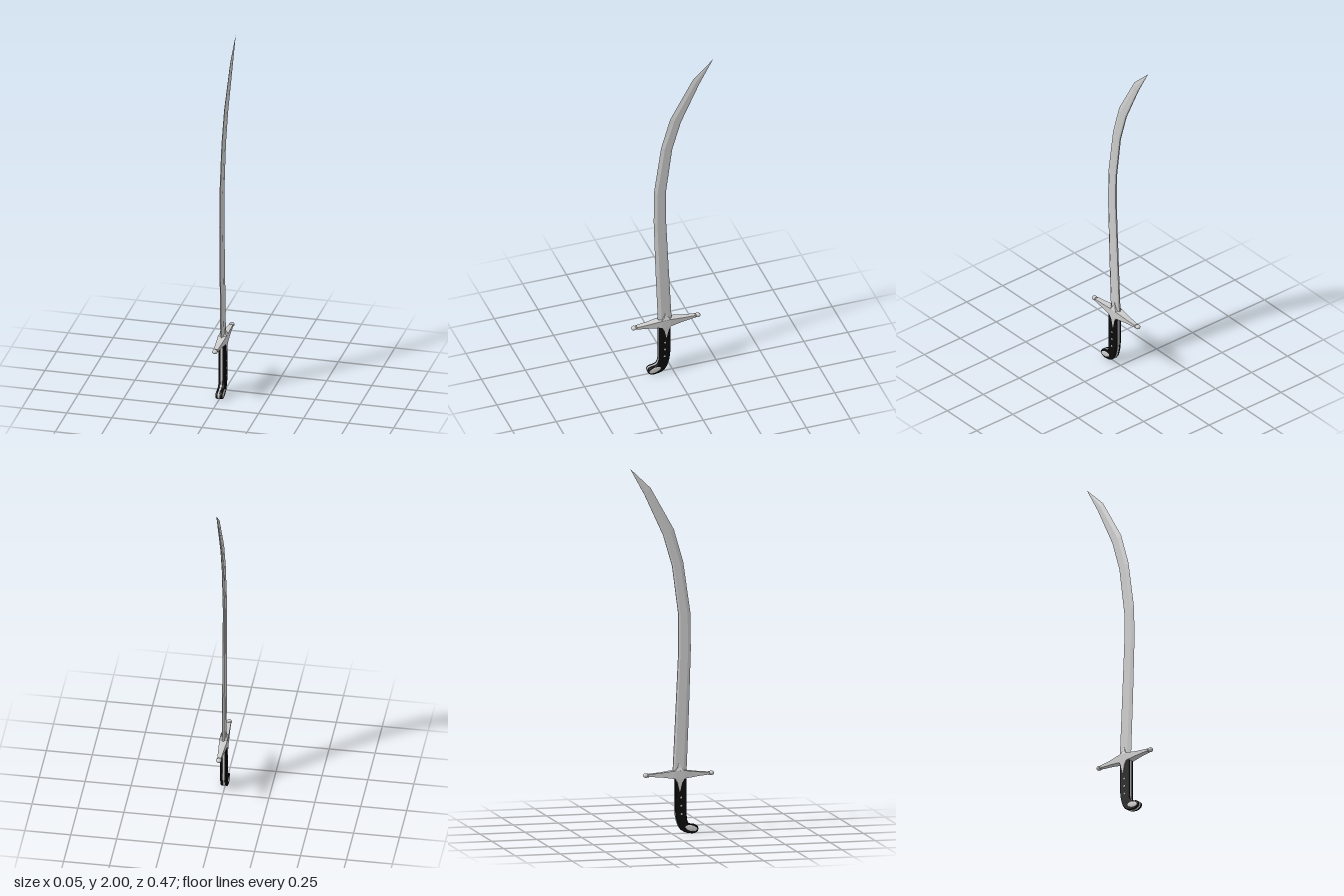
import * as THREE from 'three';

const steel = new THREE.MeshStandardMaterial({ color: 0xcccccc });
const flatSteel = new THREE.MeshStandardMaterial({ color: 0xcccccc, flatShading: true });
const black = new THREE.MeshStandardMaterial({ color: 0x0b0b0b });

// Skin a list of rings (each counter-clockwise about the forward direction), with end caps
function loft(rings) {
  const n = rings[0].length, index = [];
  for (let i = 0; i < rings.length - 1; i++) {
    for (let j = 0; j < n; j++) {
      const k = (j + 1) % n;
      const a = i * n + j, b = i * n + k, c = b + n, d = a + n;
      index.push(a, b, c, a, c, d);
    }
  }
  const last = (rings.length - 1) * n;
  for (let j = 1; j < n - 1; j++) {
    index.push(0, j + 1, j, last, last + j, last + j + 1);
  }
  const geo = new THREE.BufferGeometry();
  geo.setAttribute('position', new THREE.Float32BufferAttribute(rings.flat(2), 3));
  geo.setIndex(index);
  const flat = geo.toNonIndexed();
  flat.computeVertexNormals();
  return flat;
}

const corners = [[1, 1], [-1, 1], [-1, -1], [1, -1]];

function add(parent, name, geo, mat, x = 0, y = 0, z = 0) {
  const mesh = new THREE.Mesh(geo, mat);
  mesh.name = name;
  mesh.position.set(x, y, z);
  parent.add(mesh);
  return mesh;
}

// Side profile (z, y) extruded across x from x0 to x1
function slab(shape, x0, x1, bevel) {
  const geo = new THREE.ExtrudeGeometry(shape, {
    depth: x1 - x0 - 2 * bevel, curveSegments: 8, bevelEnabled: bevel > 0,
    bevelThickness: bevel, bevelSize: bevel, bevelOffset: -bevel, bevelSegments: 3,
  });
  geo.rotateY(-Math.PI / 2);
  geo.translate(x1 - bevel, 0, 0);
  return geo;
}

// Hooked handle outline
function gripShape() {
  const s = new THREE.Shape();
  s.moveTo(0.016, 0.33);
  s.lineTo(0.017, 0.13);
  s.quadraticCurveTo(0.022, 0.055, 0.05, 0.022);
  s.quadraticCurveTo(0.075, 0.002, 0.115, 0.002);
  s.quadraticCurveTo(0.145, 0.006, 0.145, 0.028);
  s.quadraticCurveTo(0.143, 0.048, 0.12, 0.05);
  s.quadraticCurveTo(0.1, 0.052, 0.09, 0.06);
  s.quadraticCurveTo(0.08, 0.075, 0.08, 0.1);
  s.lineTo(0.08, 0.33);
  s.closePath();
  return s;
}

export function createModel() {
  const sword = new THREE.Group();
  sword.name = 'curvedSword';

  // Blade: [edge z, edge y, back z, back y, half thickness, bevel fraction]
  const stations = [
    [0.082, 0.33, 0.005, 0.33, 0.010, 0.25],
    [0.096, 0.68, 0.022, 0.68, 0.010, 0.25],
    [0.106, 1.00, 0.037, 1.00, 0.0095, 0.25],
    [0.104, 1.20, 0.037, 1.19, 0.009, 0.27],
    [0.064, 1.48, 0.002, 1.46, 0.0085, 0.3],
    [0.012, 1.66, -0.048, 1.63, 0.008, 0.35],
    [-0.117, 1.89, -0.152, 1.855, 0.006, 0.45],
    [-0.232, 2.0, -0.232, 2.0, 0, 0.5],
  ];
  const bladeRings = stations.map(([ez, ey, bz, by, t, f]) => {
    const at = (u, x) => [x * t, ey + (by - ey) * u, ez + (bz - ez) * u];
    return [at(0, 0), at(f, 1), at(0.85, 0.9), at(1, 0.4),
      at(1, -0.4), at(0.85, -0.9), at(f, -1)];
  });
  add(sword, 'blade', loft(bladeRings), flatSteel);

  // Crossguard: tapering arms along z and pointed langets along y
  const guard = new THREE.Group();
  guard.name = 'crossguard';
  guard.position.set(0, 0.325, 0.04);
  sword.add(guard);
  const arms = [
    [-0.178, 0.010, 0.006], [-0.1, 0.0155, 0.012], [-0.026, 0.0225, 0.022],
    [0.026, 0.0225, 0.022], [0.1, 0.0165, 0.012], [0.168, 0.012, 0.006],
  ];
  add(guard, 'quillons', loft(arms.map(([z, hx, hy]) =>
    corners.map(([a, b]) => [a * hx, b * hy, z]))), flatSteel);
  const langets = [
    [-0.092, 0.021, 0.001], [-0.045, 0.0215, 0.012], [-0.02, 0.0225, 0.026],
    [0.02, 0.0225, 0.026], [0.036, 0.016, 0.012], [0.064, 0.011, 0.002],
  ];
  add(guard, 'langets', loft(langets.map(([y, hx, hz]) =>
    corners.map(([a, b]) => [b * hx, y, a * hz]))), flatSteel);

  // Ball finials with a collar at each arm end
  for (const [z, s] of [[0.18, 1], [-0.185, -1]]) {
    add(guard, 'finial', new THREE.SphereGeometry(0.0145, 20, 14), steel, 0, 0, z)
      .scale.set(1, 0.85, 1);
    add(guard, 'finialCollar', new THREE.TorusGeometry(0.0105, 0.003, 8, 20), steel,
      0, 0, z - s * 0.014).scale.y = 0.8;
  }

  // Handle: steel strap between two black scales
  const grip = new THREE.Group();
  grip.name = 'grip';
  sword.add(grip);
  add(grip, 'gripStrap', slab(gripShape(), -0.005, 0.005, 0), steel);
  add(grip, 'leftScale', slab(gripShape(), 0.004, 0.02, 0.005), black);
  add(grip, 'rightScale', slab(gripShape(), -0.017, -0.004, 0.004), black);

  // Rivets and oval pommel plates on both faces
  for (const x of [0.02, -0.017]) {
    for (const [y, z] of [[0.2, 0.048], [0.155, 0.049], [0.11, 0.051]]) {
      add(grip, 'rivet', new THREE.SphereGeometry(0.006, 12, 8), steel, x, y, z).scale.x = 0.4;
    }
    const plate = add(grip, 'pommelPlate', new THREE.SphereGeometry(1, 24, 12), steel,
      x, 0.031, 0.105);
    plate.scale.set(0.003, 0.016, 0.034);
    plate.rotation.x = 0.25;
  }
  return sword;
}
